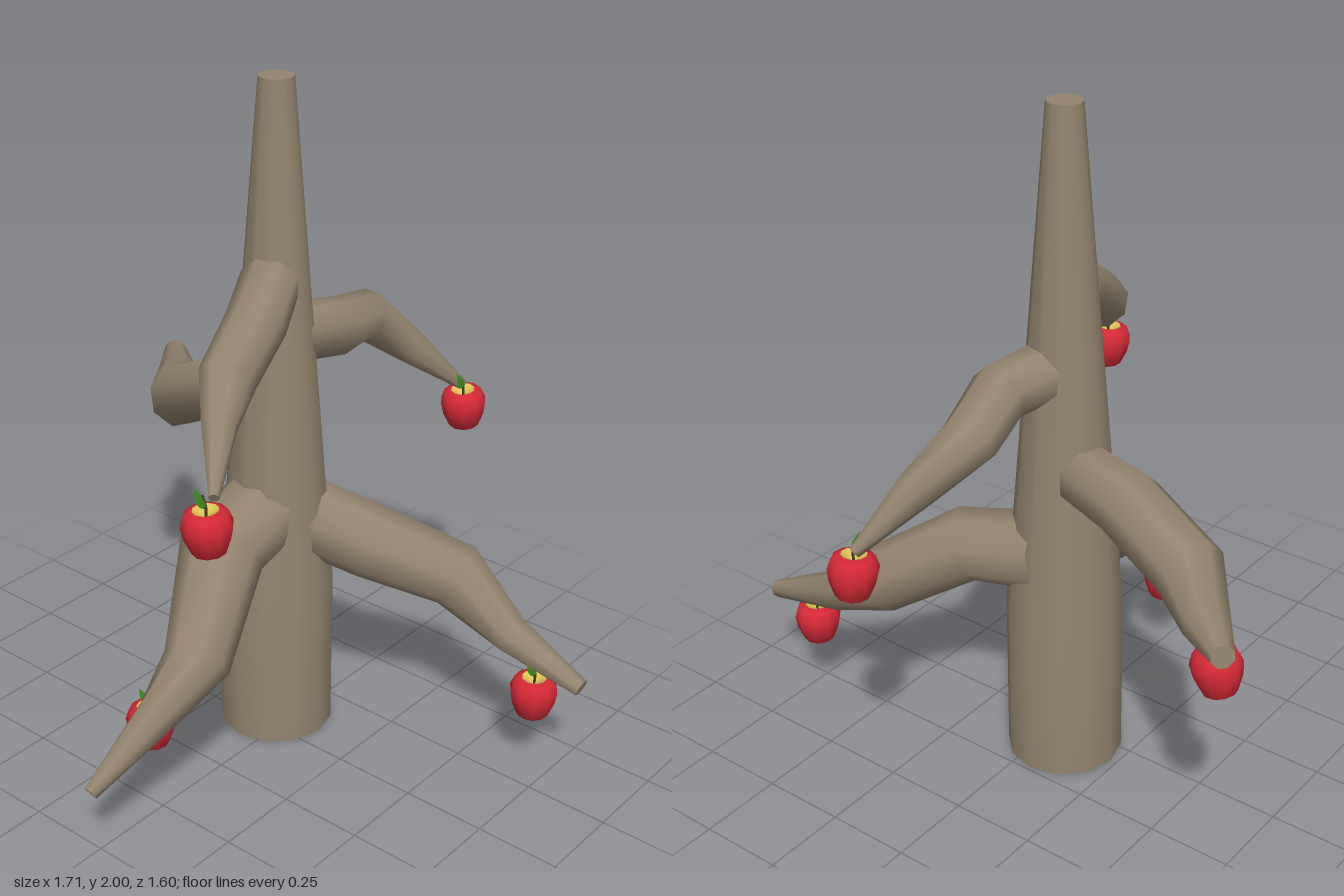
import * as THREE from 'three';

const mat = (name, color, extra = {}) => {
  const m = new THREE.MeshStandardMaterial({ color, ...extra });
  m.name = name;
  return m;
};

// Tapered branch through points [x, y, z, radius], closed at both ends
function branchGeometry(points, sides = 8) {
  const centres = points.map(p => new THREE.Vector3(p[0], p[1], p[2]));
  const up = new THREE.Vector3(0, 1, 0);
  const pos = [], index = [];
  const last = points.length - 1;
  const ring = (i) => {
    const t = centres[Math.min(i + 1, last)].clone().sub(centres[Math.max(i - 1, 0)]).normalize();
    const u = up.clone().cross(t).normalize();
    const v = t.clone().cross(u);
    const start = pos.length / 3;
    for (let j = 0; j < sides; j++) {
      const a = (j + 0.5) / sides * Math.PI * 2;
      const p = centres[i].clone()
        .addScaledVector(u, Math.cos(a) * points[i][3])
        .addScaledVector(v, Math.sin(a) * points[i][3]);
      pos.push(p.x, p.y, p.z);
    }
    return start;
  };
  for (let i = 0; i <= last; i++) {
    const s = ring(i);
    if (i === 0) continue;
    for (let j = 0; j < sides; j++) {
      const k = (j + 1) % sides, b = s - sides;
      index.push(b + j, b + k, s + k, b + j, s + k, s + j);
    }
  }
  for (const i of [0, last]) {
    const s = ring(i);
    for (let j = 1; j < sides - 1; j++) {
      if (i === 0) index.push(s, s + j + 1, s + j);
      else index.push(s, s + j, s + j + 1);
    }
  }
  const g = new THREE.BufferGeometry();
  g.setAttribute('position', new THREE.Float32BufferAttribute(pos, 3));
  g.setIndex(index);
  g.computeVertexNormals();
  return g;
}

const lathe = (pts, sides) => new THREE.LatheGeometry(pts.map(p => new THREE.Vector2(p[0], p[1])), sides);

export function createModel() {
  const bark = mat('bark', 0x94846f);
  const red = mat('apple red', 0xd62a36);
  const yellow = mat('apple yellow', 0xdcc256);
  const brown = mat('stem brown', 0x4a3a22);
  const green = mat('leaf green', 0x3f8a22, { side: THREE.DoubleSide });

  const model = new THREE.Group();
  model.name = 'appleTree';
  const add = (parent, name, geometry, material) => {
    const m = new THREE.Mesh(geometry, material);
    m.name = name;
    parent.add(m);
    return m;
  };

  // Trunk: straight foot, long taper, flat ends
  const trunk = new THREE.Group();
  trunk.name = 'trunk';
  trunk.position.set(-0.06, 0, -0.07);
  model.add(trunk);
  add(trunk, 'trunkBody', lathe([[0.17, 0], [0.17, 0.5], [0.05, 2]], 12), bark);
  const top = add(trunk, 'trunkTop', new THREE.CircleGeometry(0.05, 12), bark);
  top.rotation.x = -Math.PI / 2;
  top.position.y = 2;
  add(trunk, 'trunkBase', new THREE.CircleGeometry(0.17, 12), bark).rotation.x = Math.PI / 2;

  // Crooked branches
  const branches = {
    lowerFrontBranch: [[-0.06, 0.74, -0.01, 0.13], [-0.06, 0.67, 0.17, 0.125], [0.07, 0.48, 0.42, 0.095],
      [0.05, 0.37, 0.56, 0.06], [0.015, 0.22, 0.79, 0.022]],
    lowerLeftBranch: [[-0.03, 0.69, -0.13, 0.115], [0.21, 0.65, -0.18, 0.11], [0.4, 0.54, -0.34, 0.1],
      [0.6, 0.42, -0.34, 0.06], [0.84, 0.335, -0.345, 0.027]],
    rightBranch: [[-0.1, 0.96, -0.08, 0.09], [-0.36, 0.98, -0.185, 0.1], [-0.57, 0.87, -0.21, 0.1],
      [-0.72, 0.845, -0.36, 0.065], [-0.84, 0.86, -0.475, 0.033]],
    upperFrontBranch: [[-0.04, 1.44, -0.02, 0.085], [0.04, 1.39, 0.13, 0.085], [0.07, 1.29, 0.28, 0.08],
      [0.13, 1.21, 0.38, 0.05], [0.245, 1.1, 0.53, 0.015]],
    backBranch: [[-0.04, 1.26, -0.12, 0.085], [0, 1.24, -0.28, 0.085], [-0.05, 1.2, -0.46, 0.08],
      [0.03, 1.08, -0.59, 0.055], [0.12, 0.93, -0.735, 0.017]],
  };
  for (const [name, points] of Object.entries(branches)) add(model, name, branchGeometry(points), bark);

  // Apple parts: lobed skin, yellow hollow, stem and a folded leaf
  const skin = lathe([[0, -0.058], [0.025, -0.068], [0.046, -0.056], [0.064, -0.012],
    [0.07, 0.025], [0.058, 0.056], [0.036, 0.064], [0.028, 0.058]], 10);
  const hollow = lathe([[0.036, 0.0645], [0.026, 0.058], [0, 0.042]], 10);
  const stem = new THREE.TubeGeometry(new THREE.CatmullRomCurve3([
    new THREE.Vector3(0, 0.04, 0), new THREE.Vector3(0.002, 0.075, 0), new THREE.Vector3(-0.008, 0.105, 0)]), 4, 0.004, 5);
  const leafShape = new THREE.Shape();
  leafShape.moveTo(0, 0);
  leafShape.quadraticCurveTo(0.024, 0.022, 0, 0.065);
  leafShape.quadraticCurveTo(-0.024, 0.022, 0, 0);
  const leaf = new THREE.ShapeGeometry(leafShape, 4);
  const lp = leaf.attributes.position;
  for (let i = 0; i < lp.count; i++) lp.setZ(i, Math.abs(lp.getX(i)) * 0.7);
  leaf.computeVertexNormals();

  // Apples: position and tilt
  const apples = [
    [0.7, 0.26, -0.32, 0, 0, 0], [-0.03, 0.27, 0.505, 0, 0.4, 0.08], [-0.77, 0.735, -0.38, 0.05, 0.2, -0.2],
    [0.235, 1.005, 0.545, 0.05, 0, 0.05], [0.13, 0.855, -0.735, 0.12, 0.6, 0],
  ];
  for (const [x, y, z, rx, ry, rz] of apples) {
    const apple = new THREE.Group();
    apple.name = 'apple';
    apple.position.set(x, y, z);
    apple.rotation.set(rx, ry, rz);
    add(apple, 'appleSkin', skin, red);
    add(apple, 'appleHollow', hollow, yellow);
    add(apple, 'appleStem', stem, brown);
    const l = add(apple, 'appleLeaf', leaf, green);
    l.position.set(0, 0.065, 0);
    l.rotation.set(0, 0.6, 0.35);
    model.add(apple);
  }
  return model;
}
